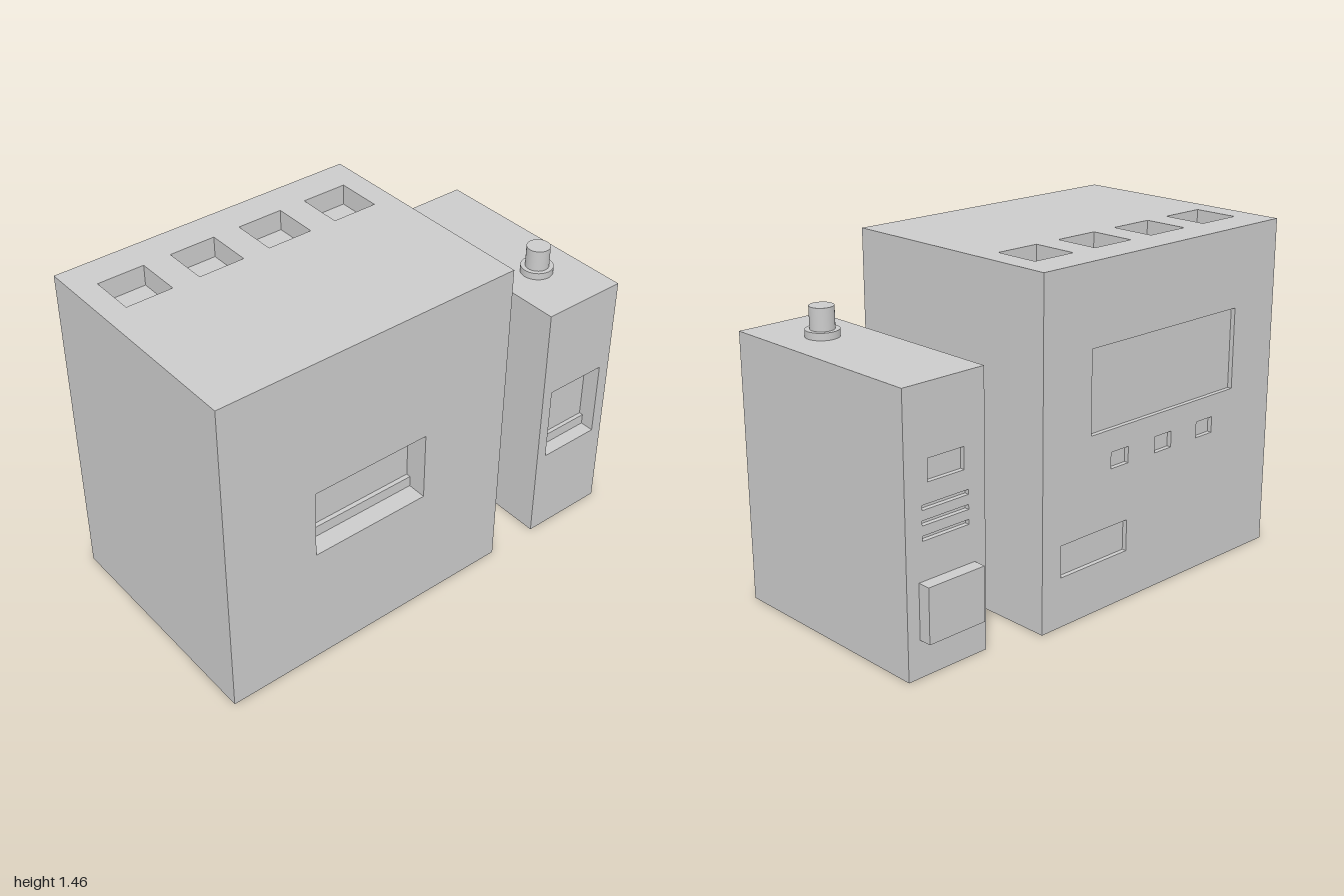
import * as THREE from 'three';
import { mergeGeometries } from 'three/addons/utils/BufferGeometryUtils.js';

const material = new THREE.MeshStandardMaterial({ color: 0xcccccc });

// Inward-facing open box, its mouth at local z = 0
function pocketGeometry([u0, u1, v0, v1, depth]) {
  const g = new THREE.BoxGeometry(u1 - u0, v1 - v0, depth);
  const idx = Array.from(g.index.array);
  idx.splice(24, 6); // drop the front wall
  g.setIndex(idx.reverse());
  g.clearGroups();
  const n = g.attributes.normal;
  for (let i = 0; i < n.count; i++) n.setXYZ(i, -n.getX(i), -n.getY(i), -n.getZ(i));
  return g.translate((u0 + u1) / 2, (v0 + v1) / 2, -depth / 2);
}

// Flat face facing +z with rectangular pockets sunk into it
function faceGeometry(w, h, pockets) {
  const rect = (path, u0, u1, v0, v1) =>
    path.moveTo(u0, v0).lineTo(u1, v0).lineTo(u1, v1).lineTo(u0, v1).lineTo(u0, v0);
  const shape = rect(new THREE.Shape(), -w / 2, w / 2, -h / 2, h / 2);
  for (const [u0, u1, v0, v1] of pockets) shape.holes.push(rect(new THREE.Path(), u0, u1, v0, v1));
  return mergeGeometries([new THREE.ShapeGeometry(shape), ...pockets.map(pocketGeometry)]);
}

// Box housing; pockets are [x0, x1, y0 or z0, y1 or z1, depth] in model coordinates
function housing(name, [x0, x1], [y0, y1], [z0, z1], pockets) {
  const w = x1 - x0, h = y1 - y0, d = z1 - z0;
  const cx = (x0 + x1) / 2, cy = (y0 + y1) / 2, cz = (z0 + z1) / 2;
  const Q = Math.PI / 2;
  const faces = {
    front: [w, h, d / 2, 0, 0, 1, 1, cy],
    back: [w, h, d / 2, 0, 2 * Q, -1, 1, cy],
    top: [w, d, h / 2, -Q, 0, 1, -1, cz],
    bottom: [w, d, h / 2, Q, 0, 1, 1, cz],
    left: [d, h, w / 2, 0, Q, 1, 1, cy],
    right: [d, h, w / 2, 0, -Q, 1, 1, cy],
  };
  const parts = Object.entries(faces).map(([side, [fw, fh, out, rx, ry, su, sv, cv]]) => {
    const local = (pockets[side] || []).map(([a, b, c, e, depth]) => {
      const u = [su * (a - cx), su * (b - cx)].sort((p, q) => p - q);
      const v = [sv * (c - cv), sv * (e - cv)].sort((p, q) => p - q);
      return [...u, ...v, depth];
    });
    return faceGeometry(fw, fh, local).translate(0, 0, out).rotateX(rx).rotateY(ry);
  });
  const mesh = new THREE.Mesh(mergeGeometries(parts).translate(cx, cy, cz), material);
  mesh.name = name;
  return mesh;
}

function block(name, [x0, x1], [y0, y1], [z0, z1]) {
  const mesh = new THREE.Mesh(new THREE.BoxGeometry(x1 - x0, y1 - y0, z1 - z0), material);
  mesh.position.set((x0 + x1) / 2, (y0 + y1) / 2, (z0 + z1) / 2);
  mesh.name = name;
  return mesh;
}

function disc(name, radius, y0, y1) {
  const mesh = new THREE.Mesh(new THREE.CylinderGeometry(radius, radius, y1 - y0, 48), material);
  mesh.position.set(0.805, (y0 + y1) / 2, 0.25);
  mesh.name = name;
  return mesh;
}

export function createModel() {
  const model = new THREE.Group();
  model.name = 'controllerModules';

  // Wide module: terminal wells above and below, display and buttons at the back
  const wide = new THREE.Group();
  wide.name = 'wideModule';
  const wells = [0, 1, 2, 3].map((i) => {
    const x = -0.9 + i * 0.325;
    return [x, x + 0.204, -0.38, -0.18, 0.09];
  });
  const buttons = [0, 1, 2].map((i) => {
    const x = -0.1 - i * 0.26;
    return [x, x + 0.1, 0.6, 0.67, 0.02];
  });
  wide.add(housing('wideHousing', [-1, 0.38], [0, 1.463], [-0.53, 0.53], {
    front: [[-0.585, -0.04, 0.555, 0.865, 0.105]],
    back: [[-0.744, 0.117, 0.767, 1.12, 0.02], [-0.1, 0.278, 0.215, 0.352, 0.02], ...buttons],
    top: wells,
    bottom: wells,
  }));
  // Ledges inside the rail slot
  wide.add(block('lowerRailLedge', [-0.585, -0.04], [0.555, 0.603], [0.425, 0.445]));
  wide.add(block('upperRailLedge', [-0.585, -0.04], [0.82, 0.865], [0.425, 0.445]));

  // Narrow module: indicator window, vents and connector at the back
  const narrow = new THREE.Group();
  narrow.name = 'narrowModule';
  const vents = [0, 1, 2].map((i) => {
    const y = 0.667 - i * 0.06;
    return [0.695, 0.92, y, y + 0.02, 0.02];
  });
  narrow.add(housing('narrowHousing', [0.613, 1], [0, 1.147], [-0.46, 0.53], {
    front: [[0.662, 0.947, 0.4, 0.742, 0.08]],
    back: [[0.715, 0.89, 0.77, 0.86, 0.02], ...vents],
  }));
  narrow.add(block('lowerRailLedge', [0.662, 0.947], [0.4, 0.447], [0.45, 0.468]));
  narrow.add(block('upperRailLedge', [0.662, 0.947], [0.7, 0.742], [0.45, 0.468]));
  narrow.add(block('rearConnector', [0.668, 0.942], [0.157, 0.388], [-0.515, -0.46]));

  // Round antenna socket on top
  narrow.add(disc('socketCollar', 0.069, 1.147, 1.177));
  narrow.add(disc('socketPost', 0.05, 1.177, 1.27));

  model.add(wide, narrow);
  return model;
}
